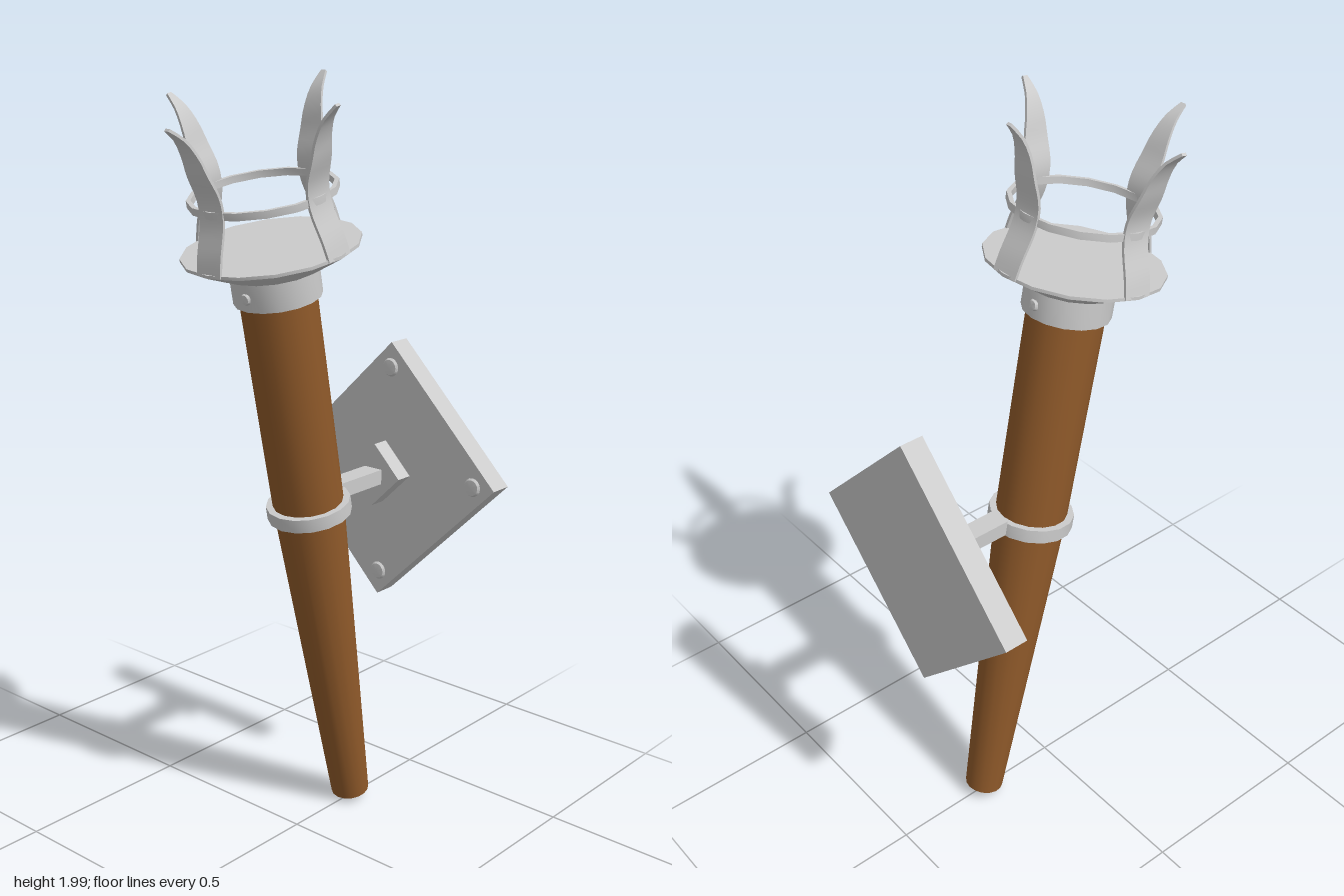
import * as THREE from 'three';
import { toCreasedNormals } from 'three/addons/utils/BufferGeometryUtils.js';

const metal = new THREE.MeshStandardMaterial({ color: 0xcccccc });
const wood = new THREE.MeshStandardMaterial({ color: 0x905a2a });
const SIDES = 16;

function add(parent, name, geometry, material = metal) {
  const mesh = new THREE.Mesh(geometry, material);
  mesh.name = name;
  parent.add(mesh);
  return mesh;
}

// Revolved part with sharp profile edges; points are [radius, height], bottom to top
function turned(points) {
  const profile = points.map(([r, y]) => new THREE.Vector2(r, y));
  return toCreasedNormals(new THREE.LatheGeometry(profile, SIDES), 0.45);
}

// Flat metal band, a closed rectangular section turned round the axis
function band(inner, outer, y, height) {
  const a = y - height / 2, b = y + height / 2;
  return turned([[inner, a], [outer, a], [outer, b], [inner, b], [inner, a]]);
}

// Low domed rivet head, pointing along +z
function rivet(radius, height) {
  const g = turned([[radius, 0], [radius * 0.8, height * 0.75], [0, height]]);
  return g.rotateX(Math.PI / 2);
}

// Leaf-shaped prong: a thin strip bent along a curve, narrowing to its tip
function prongGeometry() {
  const curve = new THREE.CatmullRomCurve3([
    [0.213, 1.6], [0.203, 1.64], [0.176, 1.72], [0.175, 1.77],
    [0.197, 1.835], [0.21, 1.88], [0.233, 1.925], [0.266, 1.957],
  ].map(([r, y]) => new THREE.Vector3(0, y, r)));
  const g = new THREE.BoxGeometry(1, 1, 0.007, 1, 18, 1);
  const pos = g.attributes.position;
  for (let i = 0; i < pos.count; i++) {
    const t = pos.getY(i) + 0.5;
    const p = curve.getPointAt(t);
    const d = curve.getTangentAt(t);
    const taper = Math.max(0, (t - 0.5) / 0.5);
    const width = 0.075 * (1 - 0.82 * Math.pow(taper, 1.6));
    const offset = pos.getZ(i);
    pos.setXYZ(i, pos.getX(i) * width, p.y - d.z * offset, p.z + d.y * offset);
  }
  return toCreasedNormals(g, 0.6);
}

function createTorch() {
  const torch = new THREE.Group();
  torch.name = 'torch';

  // Tapered wooden handle with a blunt point
  add(torch, 'handle', turned([
    [0, -0.022], [0.052, 0], [0.092, 0.9], [0.096, 1.48], [0, 1.48],
  ]), wood);

  // Holding ring, collar and flared dish
  add(torch, 'holdingRing', band(0.088, 0.11, 0.9, 0.036));
  add(torch, 'collar', turned([
    [0.09, 1.475], [0.11, 1.475], [0.11, 1.555], [0.09, 1.555],
  ]));
  add(torch, 'dish', turned([
    [0.1, 1.546], [0.125, 1.55], [0.22, 1.598], [0.22, 1.606], [0, 1.606],
  ]));

  // Collar rivets, front and back
  for (const side of [0, Math.PI]) {
    const pivot = new THREE.Group();
    pivot.name = 'collarRivet';
    pivot.rotation.y = side;
    add(pivot, 'rivetHead', rivet(0.015, 0.009)).position.set(0, 1.508, 0.108);
    torch.add(pivot);
  }

  // Four prongs joined by a hoop
  add(torch, 'hoop', band(0.171, 0.182, 1.735, 0.018));
  const prong = prongGeometry();
  for (let i = 0; i < 4; i++) {
    add(torch, 'prong', prong).rotation.y = i * Math.PI / 2;
  }

  torch.position.set(0, 0.023, -0.225);
  torch.rotation.x = 0.2;
  return torch;
}

function createBracket() {
  const bracket = new THREE.Group();
  bracket.name = 'wallBracket';
  bracket.position.y = 0.93;

  // Diamond-set wall plate and the smaller block on it
  const plate = add(bracket, 'wallPlate', new THREE.BoxGeometry(0.533, 0.484, 0.063));
  plate.position.z = -0.3865;
  plate.rotation.z = Math.PI / 4;
  const block = add(bracket, 'mountBlock', new THREE.BoxGeometry(0.128, 0.118, 0.05));
  block.position.z = -0.332;
  block.rotation.z = Math.PI / 4;

  // Arm reaching to the holding ring
  add(bracket, 'arm', new THREE.BoxGeometry(0.057, 0.04, 0.168)).position.z = -0.228;

  // Rivet near each plate corner
  for (const sx of [-1, 1]) {
    for (const sy of [-1, 1]) {
      const p = new THREE.Vector2(sx * 0.217, sy * 0.195).rotateAround(new THREE.Vector2(), Math.PI / 4);
      add(bracket, 'plateRivet', rivet(0.026, 0.01)).position.set(p.x, p.y, -0.356);
    }
  }
  return bracket;
}

export function createModel() {
  const model = new THREE.Group();
  model.name = 'wallTorch';
  model.add(createTorch(), createBracket());
  return model;
}
